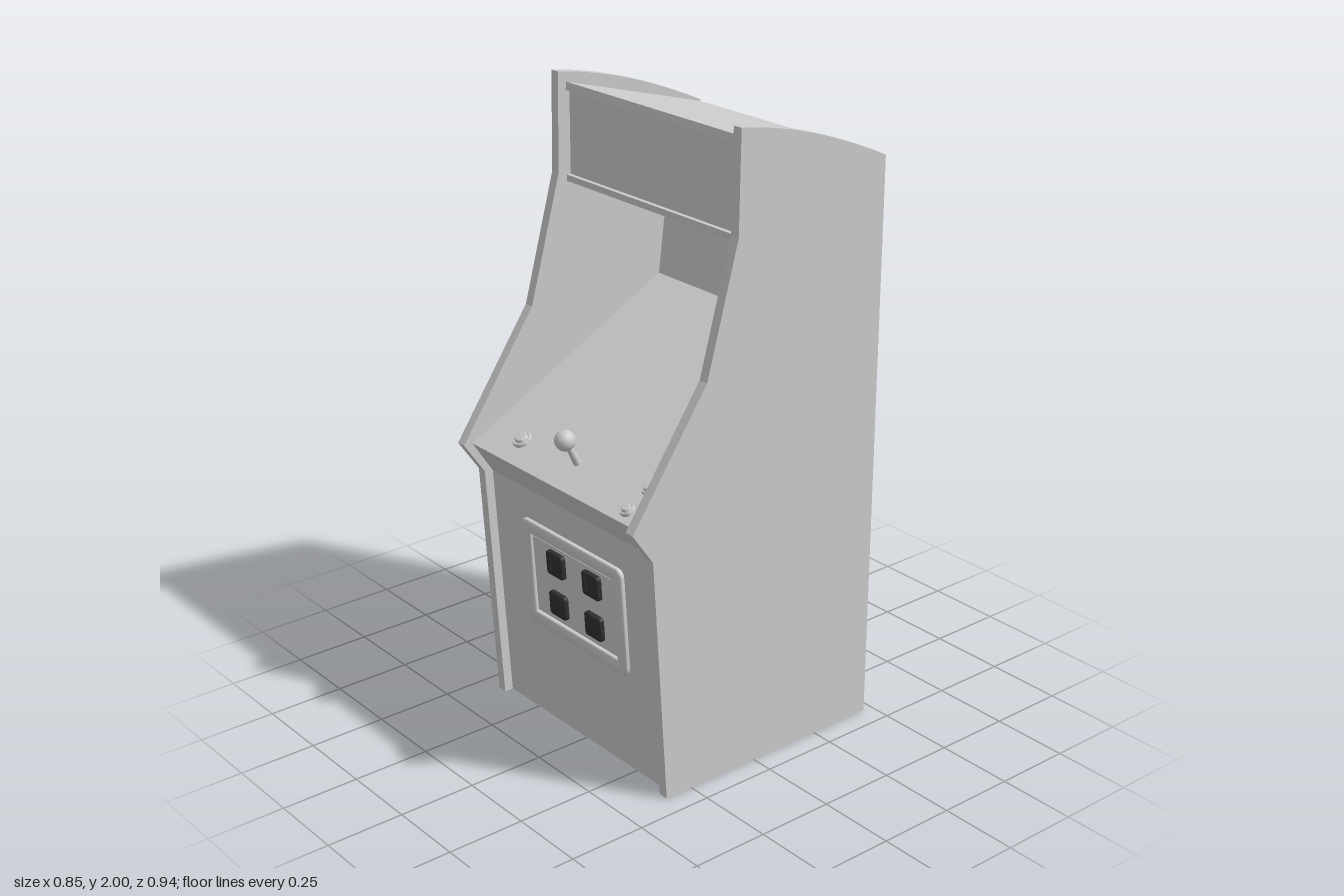
import * as THREE from 'three';
import { toCreasedNormals } from 'three/addons/utils/BufferGeometryUtils.js';

const grey = new THREE.MeshStandardMaterial({ color: 0xcccccc });
const dark = new THREE.MeshStandardMaterial({ color: 0x303030 });

function add(parent, name, geometry, material = grey, x = 0, y = 0, z = 0) {
  const mesh = new THREE.Mesh(geometry, material);
  mesh.name = name;
  mesh.position.set(x, y, z);
  parent.add(mesh);
  return mesh;
}

// Extrudes a (z, y) outline across x, centred on x = 0
function slab(shape, width) {
  const g = new THREE.ExtrudeGeometry(shape, { depth: width, bevelEnabled: false, curveSegments: 16 });
  g.translate(0, 0, -width / 2);
  g.rotateY(-Math.PI / 2);
  return toCreasedNormals(g, 0.15);
}

function roundedRect(path, w, h, r) {
  const x = w / 2, y = h / 2;
  path.moveTo(-x + r, -y);
  path.lineTo(x - r, -y);
  path.quadraticCurveTo(x, -y, x, -y + r);
  path.lineTo(x, y - r);
  path.quadraticCurveTo(x, y, x - r, y);
  path.lineTo(-x + r, y);
  path.quadraticCurveTo(-x, y, -x, y - r);
  path.lineTo(-x, -y + r);
  path.quadraticCurveTo(-x, -y, -x + r, -y);
  return path;
}

function plate(w, h, r, depth, bevel, hole) {
  const shape = roundedRect(new THREE.Shape(), w - 2 * bevel, h - 2 * bevel, r);
  if (hole) shape.holes.push(roundedRect(new THREE.Path(), hole[0] + 2 * bevel, hole[1] + 2 * bevel, 0.008));
  const g = new THREE.ExtrudeGeometry(shape, {
    depth, bevelThickness: bevel, bevelSize: bevel, bevelSegments: 4, curveSegments: 5,
  });
  return toCreasedNormals(g, 0.6);
}

const lathe = (points, sides = 28) =>
  toCreasedNormals(new THREE.LatheGeometry(points.map(p => new THREE.Vector2(...p)), sides), 0.6);

export function createModel() {
  const model = new THREE.Group();
  model.name = 'arcadeCabinet';

  // Side panels
  const side = new THREE.Shape();
  side.moveTo(-0.468, 0);
  side.lineTo(0.345, 0);
  side.lineTo(0.395, 0.795);
  side.lineTo(0.468, 0.9);
  side.lineTo(0.2, 1.29);
  side.lineTo(0.09, 1.69);
  side.lineTo(0.085, 2);
  side.quadraticCurveTo(-0.17, 1.967, -0.468, 1.827);
  side.closePath();
  const sideGeometry = slab(side, 0.032);
  for (const s of [1, -1]) add(model, s > 0 ? 'leftSidePanel' : 'rightSidePanel', sideGeometry, grey, s * 0.411);

  // Body between the sides: front, control deck, screen wall, sign box and roof
  const body = new THREE.Shape([
    [-0.467, 0], [0.315, 0], [0.365, 0.79], [0.437, 0.9],
    [-0.3, 1.29], [-0.34, 1.62],
    [0.058, 1.66], [0.058, 1.68], [0.044, 1.68],
    [0.044, 1.94], [0.058, 1.94], [0.055, 1.965], [-0.467, 1.822],
  ].map(p => new THREE.Vector2(...p)));
  add(model, 'cabinetBody', slab(body, 0.79));

  // Coin door, lying on the sloping front
  const door = new THREE.Group();
  door.name = 'coinDoor';
  door.position.set(0, 0.51, 0.347);
  door.rotation.x = Math.atan2(0.05, 0.79);
  model.add(door);
  add(door, 'coinDoorFrame', plate(0.495, 0.36, 0.02, 0.006, 0.009, [0.405, 0.27]));
  add(door, 'coinDoorPlate', new THREE.BoxGeometry(0.395, 0.26, 0.012));
  for (const x of [-0.076, 0.1]) {
    for (const y of [0.077, -0.063]) {
      add(door, 'coinButton', plate(0.08, 0.08, 0.006, 0.012, 0.006), dark, x, y, 0.004);
      if (y > 0) add(door, 'coinSlot', new THREE.BoxGeometry(0.005, 0.042, 0.004), dark, x - 0.016, y, 0.023);
    }
  }

  // Controls, standing square to the sloping deck
  const tilt = Math.atan2(0.39, 0.737);
  const control = (name, x, z) => {
    const g = new THREE.Group();
    g.name = name;
    g.position.set(x, 0.9 + (0.437 - z) * 0.39 / 0.737, z);
    g.rotation.x = tilt;
    model.add(g);
    return g;
  };

  const stick = control('joystick', 0.015, 0.345);
  add(stick, 'joystickShaft', new THREE.CylinderGeometry(0.008, 0.013, 0.1, 20), grey, 0, 0.045, 0);
  add(stick, 'joystickBall', new THREE.SphereGeometry(0.032, 32, 20), grey, 0, 0.095, 0);

  for (const [x, z, r] of [[-0.238, 0.36, 0.031], [0.32, 0.32, 0.023], [0.32, 0.4, 0.023]]) {
    const button = control('pushButton', x, z);
    add(button, 'buttonRim', lathe([
      [r, -0.004], [r, 0.007], [r * 0.92, 0.011], [r * 0.72, 0.011], [r * 0.72, 0.004],
    ]));
    add(button, 'buttonCap', lathe([
      [r * 0.66, 0], [r * 0.66, 0.015], [r * 0.58, 0.019], [r * 0.3, 0.021], [0, 0.021],
    ]));
  }
  return model;
}
